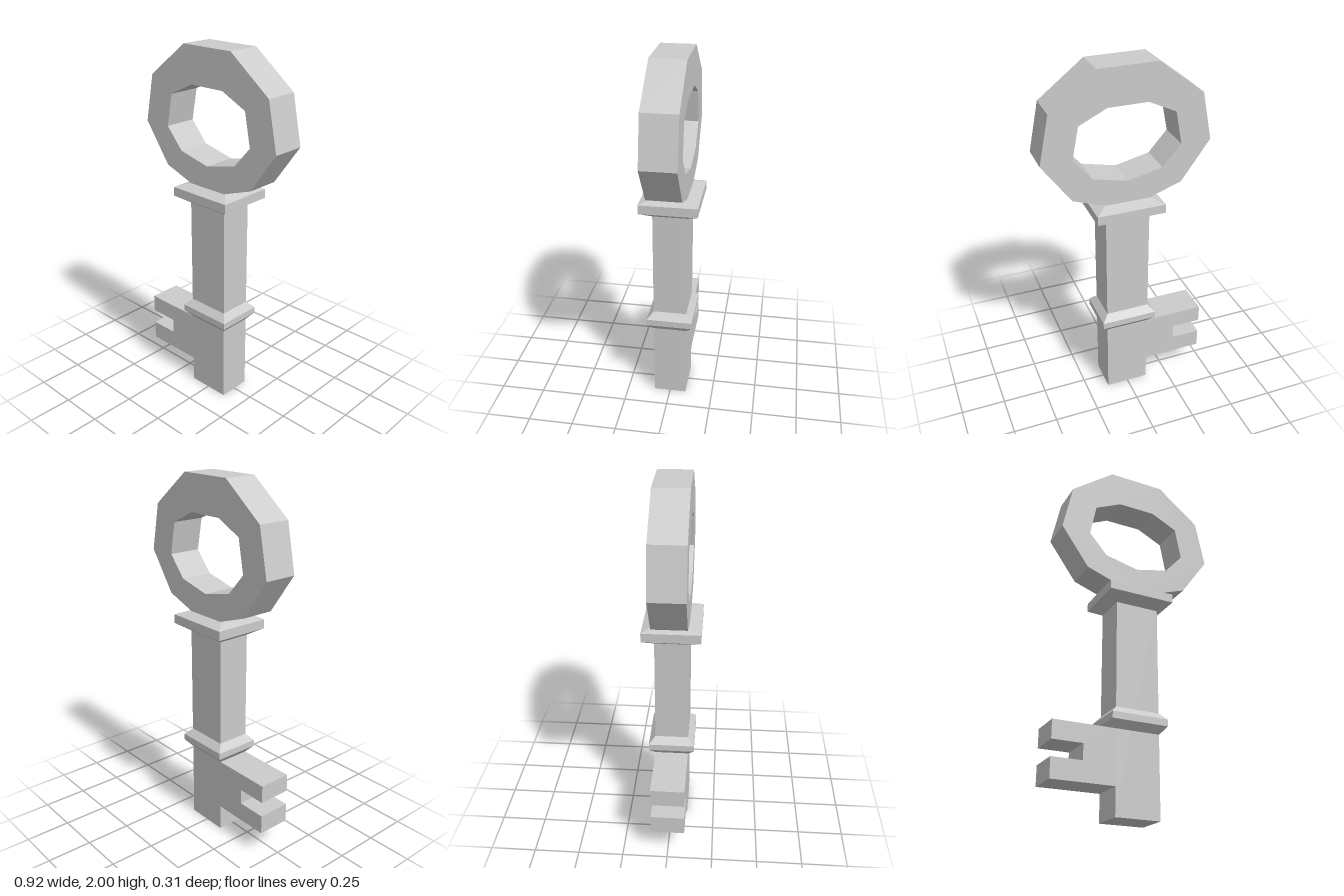
import * as THREE from 'three';

const DEPTH = 0.186;
const SHAFT_X = 0.002;
const material = new THREE.MeshStandardMaterial({ color: 0xcccccc, flatShading: true });

function part(name, geometry, x = 0) {
  const mesh = new THREE.Mesh(geometry, material);
  mesh.name = name;
  mesh.position.x = x;
  return mesh;
}

// Rectangular moulding: each level is [y, halfWidth, halfDepth], bottom to top
function loft(levels) {
  const n = levels.length - 1;
  const geometry = new THREE.BoxGeometry(2, 1, 2, 1, n, 1);
  const p = geometry.attributes.position;
  for (let i = 0; i < p.count; i++) {
    const [y, hx, hz] = levels[Math.round((p.getY(i) + 0.5) * n)];
    p.setXYZ(i, p.getX(i) * hx, y, p.getZ(i) * hz);
  }
  const flat = geometry.toNonIndexed();
  flat.computeVertexNormals();
  return flat;
}

// Flat outline extruded to the key's thickness, centred on z = 0
function slab(points, hole) {
  const toVectors = (list) => list.map(([x, y]) => new THREE.Vector2(x, y));
  const shape = new THREE.Shape(toVectors(points));
  if (hole) shape.holes.push(new THREE.Path(toVectors(hole)));
  const geometry = new THREE.ExtrudeGeometry(shape, { depth: DEPTH, bevelEnabled: false });
  return geometry.translate(0, 0, -DEPTH / 2);
}

// Closes a symmetric outline given from its bottom point up the +x side
function mirrored(half) {
  return [...half, ...half.slice(1).reverse().map(([x, y]) => [-x, y])];
}

export function createModel() {
  const key = new THREE.Group();
  key.name = 'key';

  // Nine-sided bow with a matching opening
  const outer = mirrored([[0, 1.225], [0.3, 1.33], [0.457, 1.55], [0.403, 1.812], [0.16, 2]]);
  const inner = mirrored([[0, 1.39], [0.19, 1.434], [0.292, 1.55], [0.257, 1.73], [0.107, 1.802]]);
  key.add(part('bow', slab(outer, inner), 0.002));

  // Square shaft
  key.add(part('shaft', loft([[0, 0.123, 0.093], [1.2, 0.123, 0.093]]), SHAFT_X));

  // Bevelled collars
  key.add(part('upperCollar', loft([
    [1.155, 0.123, 0.093], [1.195, 0.189, 0.157], [1.245, 0.189, 0.157], [1.267, 0.128, 0.093],
  ]), SHAFT_X));
  key.add(part('lowerCollar', loft([
    [0.44, 0.123, 0.093], [0.48, 0.158, 0.128], [0.517, 0.158, 0.128], [0.555, 0.123, 0.093],
  ]), SHAFT_X));

  // Notched bit
  key.add(part('bit', slab([
    [-0.12, 0.148], [-0.12, 0.44], [-0.462, 0.44], [-0.462, 0.34],
    [-0.295, 0.34], [-0.295, 0.255], [-0.462, 0.255], [-0.462, 0.148],
  ])));

  return key;
}
